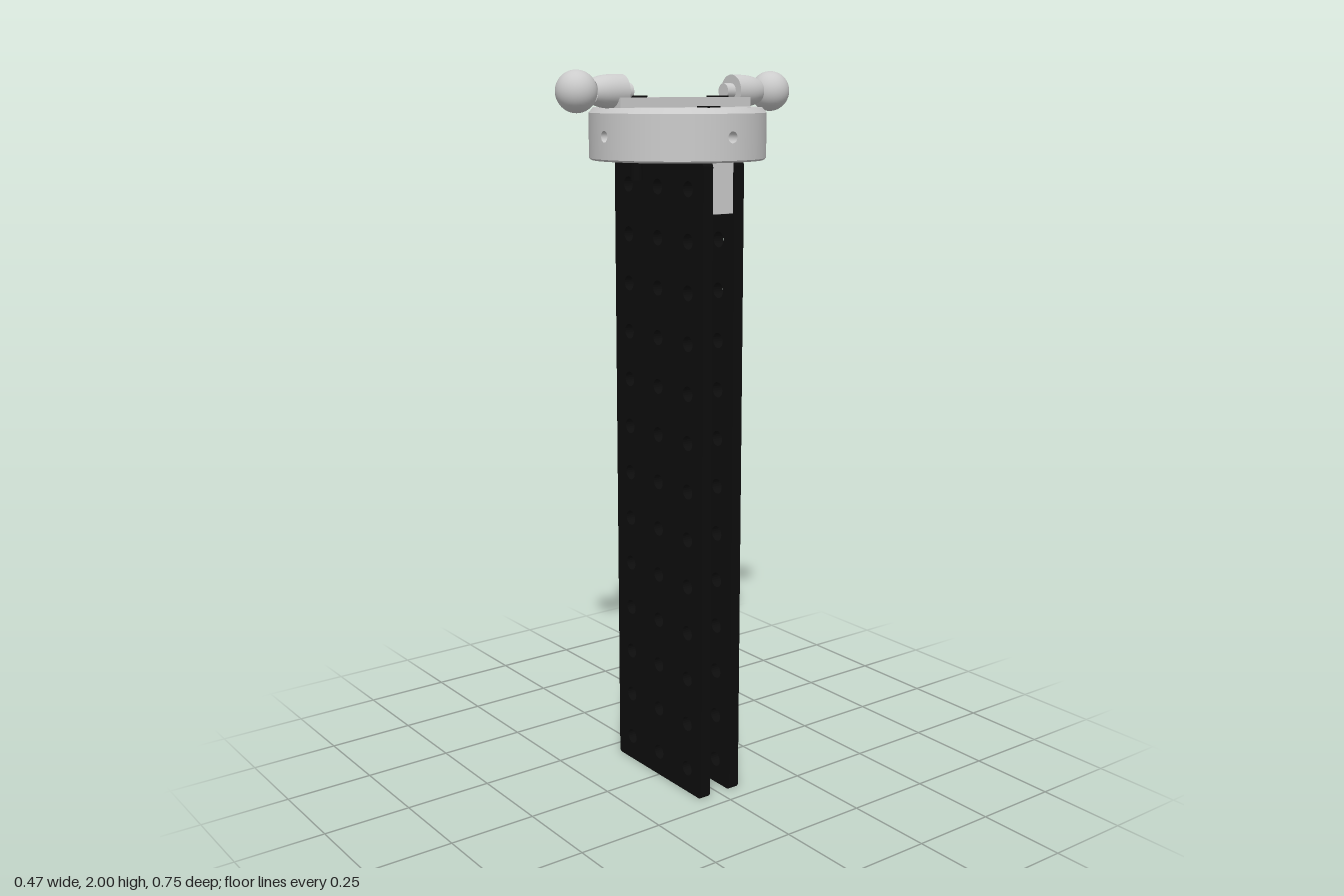
import * as THREE from 'three';
import { ParametricGeometry } from 'three/addons/geometries/ParametricGeometry.js';

const grey = new THREE.MeshStandardMaterial({ color: 0xcccccc });
const greyDouble = new THREE.MeshStandardMaterial({ color: 0xcccccc, side: THREE.DoubleSide });
const black = new THREE.MeshStandardMaterial({ color: 0x0d0d0d });

const R = 0.237, RIM = 0.225, BOTTOM = 1.77, TOP = 1.907;
const BAND_LOW = 1.775, BAND_HIGH = 1.893, SIDE_HOLE_R = 0.015;
const BAR_TOP = 1.933, BOLT = 0.135;

function add(parent, name, geometry, material, x = 0, y = 0, z = 0) {
  const mesh = new THREE.Mesh(geometry, material);
  mesh.name = name;
  mesh.position.set(x, y, z);
  parent.add(mesh);
  return mesh;
}

function punch(shape, x, y, r) {
  shape.holes.push(new THREE.Path().absarc(x, y, r, 0, Math.PI * 2, true));
}

// Upright panel with softened corners and round holes, centred on z
function panel(halfWidth, y0, y1, depth, corner, holes) {
  const s = new THREE.Shape(), w = halfWidth, c = corner;
  s.moveTo(-w + c, y0).lineTo(w - c, y0);
  s.quadraticCurveTo(w, y0, w, y0 + c).lineTo(w, y1 - c);
  s.quadraticCurveTo(w, y1, w - c, y1).lineTo(-w + c, y1);
  s.quadraticCurveTo(-w, y1, -w, y1 - c).lineTo(-w, y0 + c);
  s.quadraticCurveTo(-w, y0, -w + c, y0);
  holes.forEach(([x, y, r]) => punch(s, x, y, r));
  return new THREE.ExtrudeGeometry(s, { depth, bevelEnabled: false, curveSegments: 10 })
    .translate(0, 0, -depth / 2);
}

// A quarter of the cap's curved wall with a round hole in its middle
function wallQuarter() {
  const H = (BAND_HIGH - BAND_LOW) / 2, W = R * Math.PI / 4;
  return new ParametricGeometry((u, v, target) => {
    const t = u * Math.PI * 2, c = Math.cos(t), s = Math.sin(t);
    const k = 1 / Math.max(Math.abs(c), Math.abs(s));
    const a = THREE.MathUtils.lerp(SIDE_HOLE_R * c, W * c * k, v) / R;
    const y = THREE.MathUtils.lerp(SIDE_HOLE_R * s, H * s * k, v);
    target.set(R * Math.sin(a), (BAND_LOW + BAND_HIGH) / 2 + y, R * Math.cos(a));
  }, 80, 14);
}

function buildColumn() {
  const column = new THREE.Group();
  column.name = 'column';
  const all = [], middle = [];
  for (let row = 0; row < 13; row++) {
    const y = 0.071 + row * 0.1358;
    for (const x of [-BOLT, 0, BOLT]) all.push([x, y, 0.021]);
    if (row > 0 && row < 12) middle.push([0, y, 0.021]);
  }
  // Two perforated plates with a recessed spacer between them
  const plate = panel(0.2, 0, BOTTOM, 0.032, 0.012, all);
  add(column, 'frontPlate', plate, black, 0, 0, 0.051);
  add(column, 'backPlate', plate, black, 0, 0, -0.051);
  add(column, 'spacer', panel(0.1, 0.14, 1.637, 0.07, 0.001, middle), black);
  // Block joining the plates to the cap
  add(column, 'mountingBlock', panel(0.195, 1.637, BOTTOM, 0.07, 0.001, [[0, 1.70, 0.016]]), grey);
  return column;
}

function buildCap() {
  const cap = new THREE.Group();
  cap.name = 'cap';
  const disc = (r) => {
    const s = new THREE.Shape().absarc(0, 0, r, 0, Math.PI * 2, false);
    for (const x of [-BOLT, BOLT]) for (const y of [-BOLT, BOLT]) punch(s, x, y, 0.014);
    return new THREE.ShapeGeometry(s, 48);
  };
  add(cap, 'capTop', disc(RIM).rotateX(-Math.PI / 2), grey, 0, TOP, 0);
  add(cap, 'capUnderside', disc(R - 0.006).rotateX(Math.PI / 2), grey, 0, BOTTOM, 0);

  // Chamfers above and below the wall
  const chamfer = (rTop, rLow, y0, y1) => new THREE.CylinderGeometry(rTop, rLow, y1 - y0, 96, 1, true)
    .translate(0, (y0 + y1) / 2, 0);
  add(cap, 'topChamfer', chamfer(RIM, R, BAND_HIGH, TOP), greyDouble);
  add(cap, 'lowerChamfer', chamfer(R, R - 0.006, BOTTOM, BAND_LOW), greyDouble);

  // Wall with four radial holes, each closed at its inner end
  const wall = wallQuarter();
  const bore = new THREE.CylinderGeometry(SIDE_HOLE_R, SIDE_HOLE_R, 0.08, 24, 1, true).rotateX(Math.PI / 2);
  const boreEnd = new THREE.CircleGeometry(SIDE_HOLE_R, 24);
  for (let i = 0; i < 4; i++) {
    const side = new THREE.Group();
    side.name = 'capSide';
    side.rotation.y = i * Math.PI / 2;
    const y = (BAND_LOW + BAND_HIGH) / 2;
    add(side, 'capWall', wall, greyDouble);
    add(side, 'sideHole', bore, greyDouble, 0, y, R - 0.041);
    add(side, 'sideHoleEnd', boreEnd, black, 0, y, R - 0.08);
    cap.add(side);
  }

  // Four through holes
  const through = new THREE.CylinderGeometry(0.014, 0.014, TOP - BOTTOM, 24, 1, true);
  for (const x of [-BOLT, BOLT]) for (const z of [-BOLT, BOLT])
    add(cap, 'throughHole', through, greyDouble, x, (TOP + BOTTOM) / 2, z);

  // Raised bar across the top
  add(cap, 'crossBar', new THREE.BoxGeometry(0.088, BAR_TOP - TOP, 0.43), grey, 0, (BAR_TOP + TOP) / 2, 0);
  return cap;
}

function buildBolts() {
  const bolts = new THREE.Group();
  bolts.name = 'bolts';
  const head = new THREE.CylinderGeometry(0.03, 0.03, 0.008, 32);
  const shank = new THREE.CylinderGeometry(0.016, 0.016, 0.19, 24);
  for (const s of [-1, 1]) {
    add(bolts, 'sideBoltHead', head, black, s * BOLT, TOP, 0);
    add(bolts, 'barBoltHead', head, black, 0, BAR_TOP, s * BOLT);
    add(bolts, 'barBoltShank', shank, black, 0, 1.72 + 0.095, s * BOLT);
  }
  return bolts;
}

// Handle along +z: pin, tapered socket and ball
function buildHandle() {
  const handle = new THREE.Group();
  handle.name = 'ballHandle';
  const pin = new THREE.CylinderGeometry(0.021, 0.021, 0.035, 32).rotateX(Math.PI / 2);
  add(handle, 'pin', pin, grey, 0, 0, 0.1725);
  const back = new THREE.LatheGeometry([new THREE.Vector2(0.044, 0), new THREE.Vector2(0, 0)], 40);
  const curve = new THREE.SplineCurve([
    [0.031, 0.092], [0.036, 0.08], [0.041, 0.06], [0.0435, 0.035], [0.044, 0],
  ].map(([r, y]) => new THREE.Vector2(r, y)));
  const body = new THREE.LatheGeometry(curve.getPoints(16), 40);
  for (const g of [back, body]) g.rotateX(Math.PI / 2);
  add(handle, 'socket', body, greyDouble, 0, 0, 0.182);
  add(handle, 'socketEnd', back, greyDouble, 0, 0, 0.182);
  add(handle, 'ball', new THREE.SphereGeometry(0.054, 40, 28), grey, 0, 0, 0.32);
  handle.position.y = 1.948;
  return handle;
}

export function createModel() {
  const model = new THREE.Group();
  model.name = 'perforatedColumn';
  const frontHandle = buildHandle(), backHandle = buildHandle();
  backHandle.rotation.y = Math.PI;
  model.add(buildColumn(), buildCap(), buildBolts(), frontHandle, backHandle);
  return model;
}
